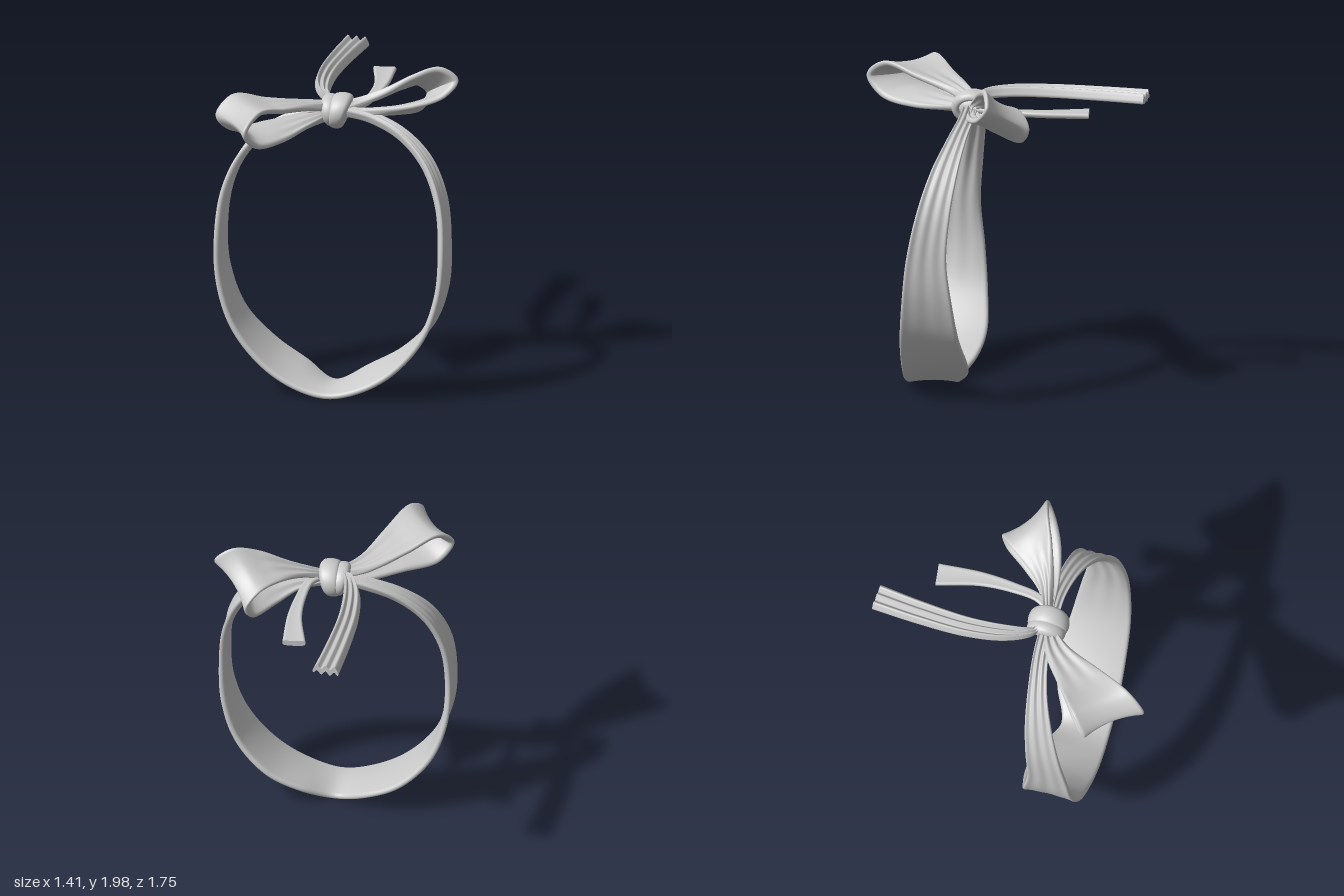
import * as THREE from 'three';

const material = new THREE.MeshStandardMaterial({ color: 0xcccccc, roughness: 0.8 });
const curve = (pts, closed) =>
  new THREE.CatmullRomCurve3(pts.map((p) => new THREE.Vector3(...p)), closed, 'centripetal');

// Thick cloth strip swept between two edge rails, with rounded borders.
// cup bows the middle along the normal, pleat(u) is the depth of three lengthwise folds.
function ribbon(name, railA, railB, { steps = 80, thick = 0.035, cup = () => 0, pleat = () => 0, closed = false }) {
  const a = curve(railA, closed), b = curve(railB, closed);
  const H = 28, L = 2 * H, pos = [], idx = [];
  for (let j = 0; j <= steps; j++) {
    const u = j / steps;
    const pa = a.getPoint(u), pb = b.getPoint(u);
    const mid = pa.clone().add(pb).multiplyScalar(0.5);
    const w = pb.clone().sub(pa);
    const half = w.length() / 2;
    w.normalize();
    const n = a.getTangent(u).add(b.getTangent(u)).cross(w).normalize();
    const r = Math.min(thick / 2, half);
    for (let k = 0; k < L; k++) {
      const i = k <= H ? k : L - k;
      const s = -Math.cos((Math.PI * i) / H);
      const e = Math.max(0, (Math.abs(s) * half - (half - r)) / r);
      const h = (thick / 2) * Math.sqrt(Math.max(0, 1 - e * e)) * (k <= H ? 1 : -1);
      const off = h + cup(u) * (1 - s * s) + pleat(u) * Math.cos(3 * Math.PI * s);
      const p = mid.clone().addScaledVector(w, s * half).addScaledVector(n, off);
      pos.push(p.x, p.y, p.z);
    }
  }
  for (let j = 0; j < steps; j++) {
    for (let k = 0; k < L; k++) {
      const p = j * L + k, q = j * L + ((k + 1) % L);
      idx.push(p, p + L, q, q, p + L, q + L);
    }
  }
  // End caps on their own vertices, so the cut stays sharp
  for (const end of [0, 1]) {
    const from = end * steps * L, base = pos.length / 3;
    for (let k = 0; k < L * 3; k++) pos.push(pos[from * 3 + k]);
    for (let i = 0; i < H; i++) {
      const t0 = base + i, t1 = base + i + 1;
      const b0 = base + ((L - i) % L), b1 = base + L - i - 1;
      if (end) idx.push(t0, b0, t1, t1, b0, b1);
      else idx.push(t0, t1, b0, t1, b1, b0);
    }
  }
  const g = new THREE.BufferGeometry();
  g.setAttribute('position', new THREE.Float32BufferAttribute(pos, 3));
  g.setIndex(idx);
  g.computeVertexNormals();
  const mesh = new THREE.Mesh(g, material);
  mesh.name = name;
  return mesh;
}

// Folds that are deepest at both ends, where the cloth is gathered
const gathered = (depth, reach) => (u) => depth * Math.max(0, 1 - Math.min(u, 1 - u) / reach);

// Half of the neckband from the knot to the bottom: x, front y, front z, back y, back z
const bandHalf = [
  [0, 1.735, 0.21, 1.735, 0.12],
  [0.2, 1.7, 0.215, 1.7, 0.12],
  [0.4, 1.615, 0.26, 1.615, 0.14],
  [0.56, 1.465, 0.33, 1.465, 0.165],
  [0.66, 1.24, 0.4, 1.24, 0.195],
  [0.69, 0.95, 0.46, 0.95, 0.215],
  [0.67, 0.68, 0.49, 0.68, 0.185],
  [0.58, 0.42, 0.515, 0.43, 0.155],
  [0.4, 0.2, 0.53, 0.235, 0.13],
  [0.2, 0.075, 0.54, 0.12, 0.16],
  [0, 0.028, 0.54, 0.03, 0.24],
];
const mirrored = (pts) => [...pts, ...pts.slice(0, -1).reverse().map(([x, y, z]) => [-x, y, z])];

// One wrap of the knot: a closed strip round the x axis; slant shifts it sideways as it turns
function wrap(name, cx, halfTop, halfBottom, ry, rz, slant, thick) {
  const rail = (side) => Array.from({ length: 16 }, (_, i) => {
    const t = 3.7 + (i / 16) * Math.PI * 2;
    const c = Math.cos(t), s = Math.sin(t);
    const half = halfBottom + (halfTop - halfBottom) * (c + 1) / 2;
    return [cx + slant * c + side * half, 1.725 + ry * c, 0.16 + rz * s];
  });
  return ribbon(name, rail(-1), rail(1), { steps: 64, thick, cup: () => 0.014, closed: true });
}

export function createModel() {
  const model = new THREE.Group();
  model.name = 'tiedRibbon';

  // Neckband
  model.add(ribbon('neckband',
    mirrored(bandHalf.map((p) => [p[0], p[3], p[4]])),
    mirrored(bandHalf.map((p) => [p[0], p[1], p[2]])),
    { steps: 160, cup: (u) => 0.014 * Math.sin(Math.PI * u), pleat: gathered(0.012, 0.35) }));

  // Bow loops
  model.add(ribbon('rightLoop',
    [[-0.03, 1.75, 0.14], [-0.2, 1.775, 0.19], [-0.42, 1.83, 0.34], [-0.59, 1.88, 0.47], [-0.665, 1.78, 0.55],
      [-0.59, 1.68, 0.49], [-0.4, 1.685, 0.35], [-0.2, 1.7, 0.2], [-0.03, 1.71, 0.14]],
    [[-0.03, 1.75, 0.2], [-0.14, 1.785, 0.33], [-0.25, 1.835, 0.55], [-0.36, 1.875, 0.76], [-0.42, 1.78, 0.865],
      [-0.37, 1.675, 0.78], [-0.25, 1.645, 0.56], [-0.14, 1.67, 0.34], [-0.03, 1.71, 0.2]],
    { steps: 110, cup: (u) => -0.035 * Math.sin(Math.PI * u) ** 2, pleat: gathered(0.012, 0.3) }));
  model.add(ribbon('leftLoop',
    [[0.03, 1.75, 0.12], [0.17, 1.78, 0.06], [0.29, 1.81, -0.06], [0.39, 1.81, -0.19], [0.455, 1.725, -0.25],
      [0.42, 1.645, -0.21], [0.31, 1.65, -0.07], [0.18, 1.685, 0.06], [0.03, 1.71, 0.12]],
    [[0.03, 1.75, 0.17], [0.26, 1.845, 0.12], [0.44, 1.945, 0.06], [0.59, 1.982, 0.0], [0.685, 1.91, -0.02],
      [0.62, 1.825, 0.04], [0.45, 1.77, 0.12], [0.26, 1.74, 0.16], [0.03, 1.71, 0.17]],
    { steps: 110, cup: (u) => 0.035 * Math.sin(Math.PI * u) ** 2, pleat: gathered(-0.012, 0.3) }));

  // Loose tails
  model.add(ribbon('longTail',
    [[-0.05, 1.76, 0.15], [-0.13, 1.785, 0.09], [-0.2, 1.795, -0.06], [-0.235, 1.795, -0.3], [-0.23, 1.795, -0.6], [-0.21, 1.795, -0.88]],
    [[-0.01, 1.76, 0.15], [-0.075, 1.785, 0.08], [-0.1, 1.795, -0.06], [-0.11, 1.795, -0.3], [-0.085, 1.795, -0.6], [-0.05, 1.795, -0.865]],
    { steps: 60, thick: 0.042, pleat: () => -0.014 }));
  model.add(ribbon('shortTail',
    [[0.03, 1.735, 0.15], [0.1, 1.745, 0.06], [0.12, 1.747, -0.1], [0.11, 1.747, -0.3], [0.045, 1.747, -0.555]],
    [[0.06, 1.735, 0.17], [0.15, 1.745, 0.08], [0.185, 1.747, -0.1], [0.2, 1.747, -0.3], [0.185, 1.747, -0.57]],
    { steps: 50, cup: () => 0.005 }));

  // Knot: two crossing wraps around a solid core
  const knot = new THREE.Group();
  knot.name = 'knot';
  const core = new THREE.Mesh(new THREE.SphereGeometry(1, 32, 20), material);
  core.name = 'knotCore';
  core.scale.set(0.075, 0.08, 0.1);
  core.position.set(-0.01, 1.725, 0.16);
  knot.add(core,
    wrap('outerWrap', 0.004, 0.062, 0.045, 0.072, 0.09, 0.016, 0.045),
    wrap('innerWrap', -0.05, 0.045, 0.035, 0.06, 0.082, -0.01, 0.045));
  model.add(knot);

  return model;
}
